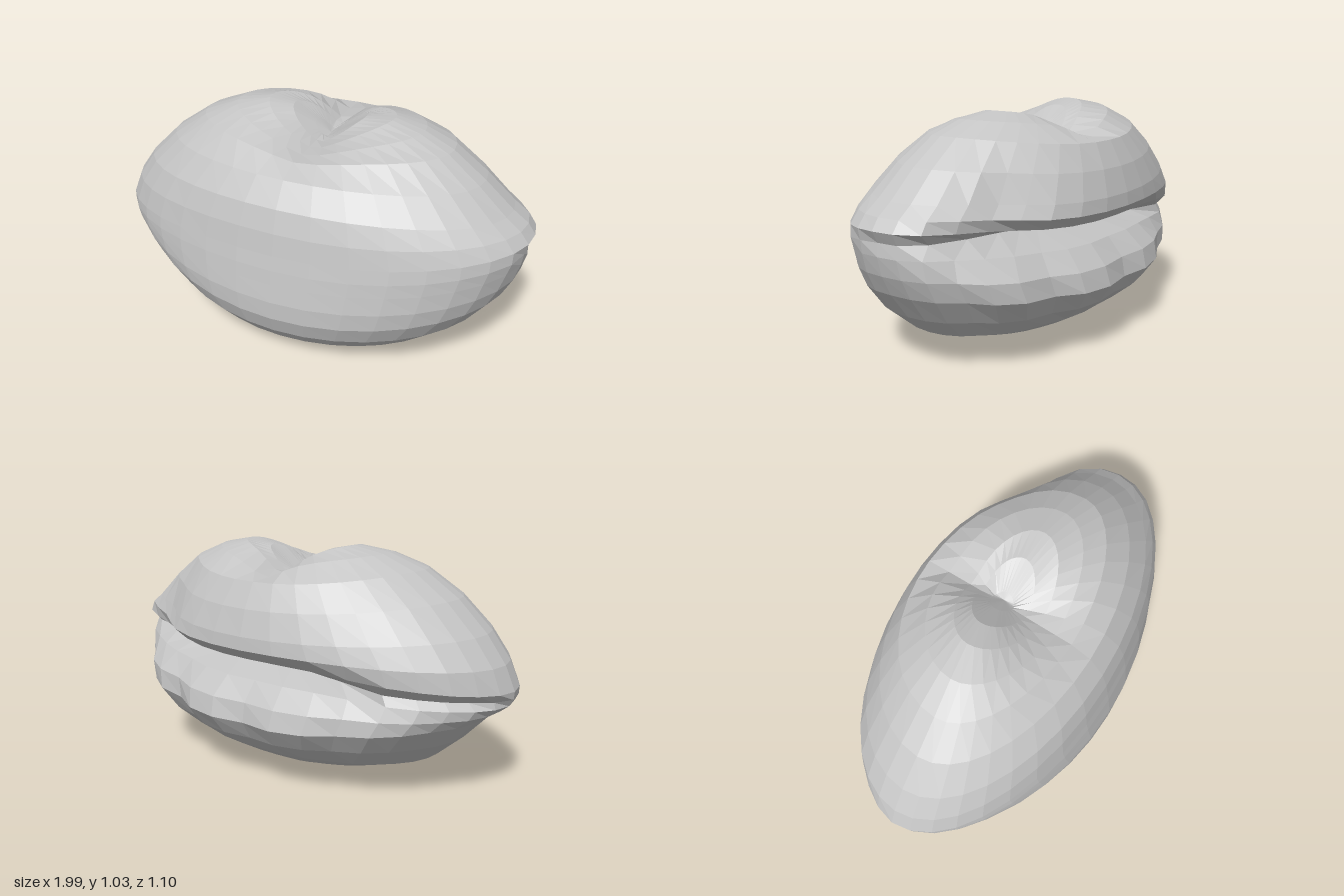
import * as THREE from 'three';

// Profiles from base to crown as [reach, height] for the four sides of the body
const PROFILES = {
  right: [[0.3, 0.04], [0.66, 0.14], [0.89, 0.36], [0.98, 0.425], [1, 0.49], [0.87, 0.71], [0.58, 0.95], [0.27, 1.045], [0.05, 1.04]],
  left: [[0.32, 0.04], [0.7, 0.14], [0.91, 0.36], [0.98, 0.53], [1, 0.635], [0.89, 0.73], [0.61, 0.95], [0.33, 1.035], [0.05, 1.04]],
  front: [[0.25, 0.045], [0.46, 0.1], [0.55, 0.26], [0.535, 0.43], [0.51, 0.56], [0.46, 0.76], [0.3, 0.945], [0.18, 0.995], [0.05, 1.03]],
  back: [[0.19, 0.025], [0.4, 0.14], [0.55, 0.3], [0.5, 0.47], [0.53, 0.57], [0.53, 0.68], [0.43, 0.9], [0.17, 1.03], [0.05, 1.04]],
};
const ROWS = 16;
const FOLD_ROW = 7;
const SEGMENTS = 36;
const { smoothstep } = THREE.MathUtils;

function sampleProfile(points) {
  const curve = new THREE.CatmullRomCurve3(points.map(([r, y]) => new THREE.Vector3(r, y, 0)));
  return curve.getPoints(ROWS);
}

// Fold strength by angle: a slit at the left end, deepest at the back, a shallow ledge on the right
function foldAmount(d) {
  if (d >= 0) return 0.08 * (1 - smoothstep(d, 0, 18));
  const open = 0.08 + 0.92 * smoothstep(-d, 10, 55);
  return open * (1 - 0.85 * smoothstep(-d, 108, 132)) * (1 - smoothstep(-d, 160, 180));
}

// Bell-shaped weight of a value around a centre
const bell = (value, centre, width) => Math.exp(-(((value - centre) / width) ** 2));

// Crease that parts the crown into two lobes, softer towards the front
function crease(x, y, z) {
  const width = 0.13 + 0.3 * Math.max(0, z);
  const falloff = Math.exp(-Math.pow(Math.abs(x - 0.02) / width, 1.4));
  return y - Math.max(0, y - 0.9) * falloff;
}

function foldedBody() {
  const right = sampleProfile(PROFILES.right);
  const left = sampleProfile(PROFILES.left);
  const front = sampleProfile(PROFILES.front);
  const back = sampleProfile(PROFILES.back);

  const points = [[0.02, 0.005, -0.13]];
  for (let i = 0; i <= ROWS; i++) {
    const shift = -0.06 * smoothstep(i, 11, 15);
    for (let j = 0; j < SEGMENTS; j++) {
      const angle = (j / SEGMENTS) * Math.PI * 2;
      const c = Math.cos(angle), s = Math.sin(angle);
      const side = c > 0 ? left[i] : right[i];
      const face = s > 0 ? front[i] : back[i];

      // Groove under the upper lobe, pleats on the lower lip, and a set-back of the lobe at its left
      const degrees = j > SEGMENTS / 2 ? (j * 360) / SEGMENTS - 360 : (j * 360) / SEGMENTS;
      const fold = foldAmount(degrees);
      const groove = 0.42 * bell(i, FOLD_ROW, 0.85);
      const pleat = 0.04 * bell(i, 4, 2) * (j % 3 === 0 ? -1 : 0.4);
      const setBack = 0.1 * bell(degrees, -42, 16) * bell(i, 9.5, 2);
      const scale = 1 + fold * (pleat - groove) - setBack;

      const x = c * side.x * scale;
      const z = s * face.x * scale + shift;
      const y = c * c * side.y + s * s * face.y;
      points.push([x, crease(x, y, z), z]);
    }
  }
  points.push([0.02, 0.9, -0.06]);

  const index = [];
  const at = (i, j) => 1 + i * SEGMENTS + (j % SEGMENTS);
  for (let j = 0; j < SEGMENTS; j++) {
    index.push(0, at(0, j), at(0, j + 1));
    for (let i = 0; i < ROWS; i++) {
      const a = at(i, j), b = at(i + 1, j), c = at(i + 1, j + 1), d = at(i, j + 1);
      index.push(a, b, c, a, c, d);
    }
    index.push(at(ROWS, j), points.length - 1, at(ROWS, j + 1));
  }
  const geometry = new THREE.BufferGeometry();
  geometry.setAttribute('position', new THREE.Float32BufferAttribute(points.flat(), 3));
  geometry.setIndex(index);
  const faceted = geometry.toNonIndexed();
  faceted.computeVertexNormals();
  return faceted;
}

export function createModel() {
  const group = new THREE.Group();
  group.name = 'foldedBun';
  const grey = new THREE.MeshStandardMaterial({ color: 0xc4c4c4, flatShading: true });
  grey.name = 'light grey';
  const body = new THREE.Mesh(foldedBody(), grey);
  body.name = 'body';
  group.add(body);
  return group;
}
